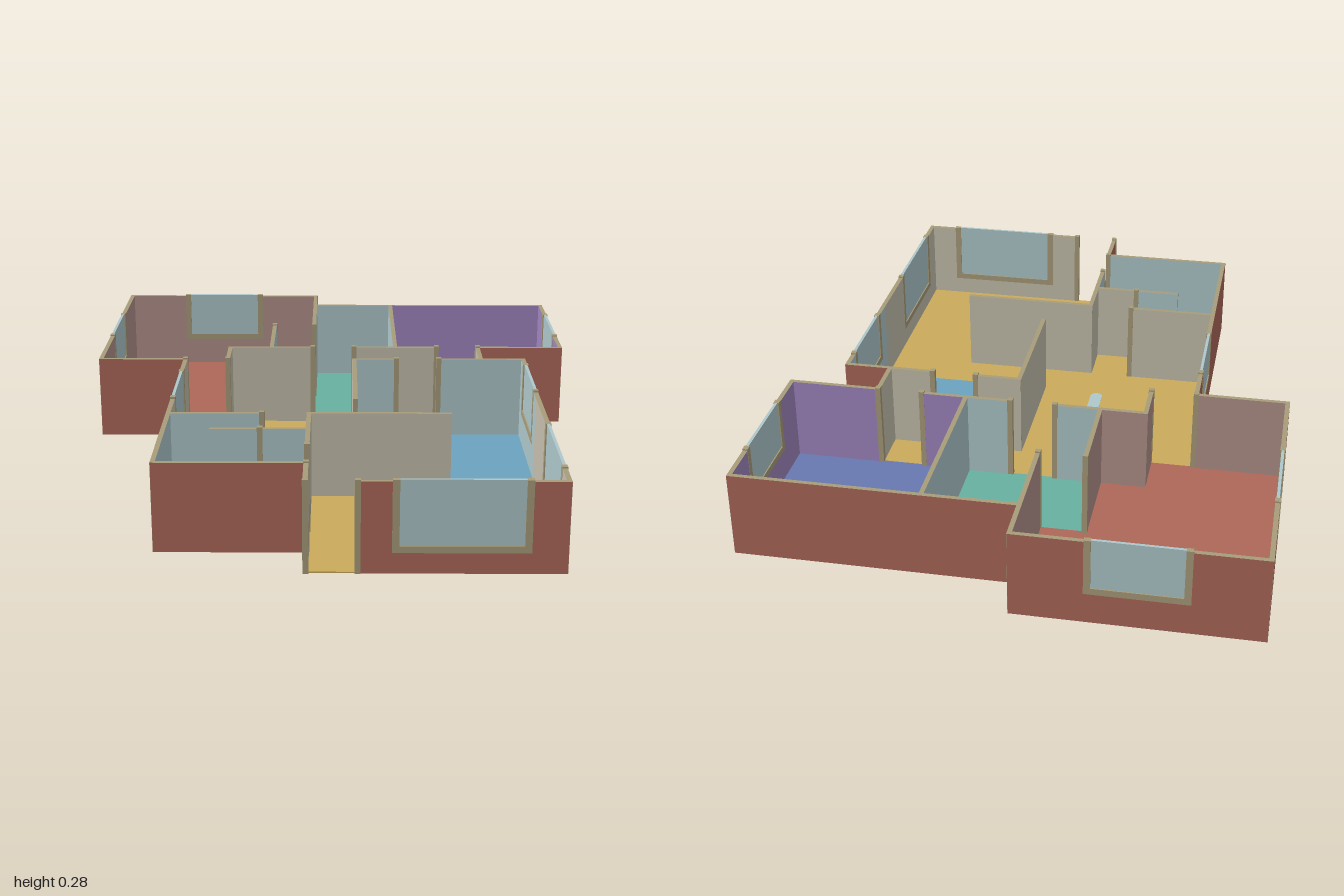
import * as THREE from 'three';

const M = 0.14168;   // plan module
const T = 0.0142;    // wall thickness
const H = 0.27;      // wall height
const TRIM_T = 0.0165, TRIM_H = 0.275;

const mat = (name, color) => {
  const m = new THREE.MeshStandardMaterial({ color });
  m.name = name;
  return m;
};

export function createModel() {
  const brick = mat('brick red', 0xad6859);
  const tealFloor = mat('teal floor', 0x68b0a0);
  const violetFloor = mat('violet blue floor', 0x6878b0);
  const ochre = mat('ochre floor', 0xcaaa5c);
  const blueFloor = mat('blue floor', 0x6ca4c0);
  const plaster = mat('plaster', 0xc5bfad);
  const pink = mat('dusty pink wall', 0xb2918a);
  const purple = mat('purple wall', 0x9f86c0);
  const pale = mat('pale blue glass and tile', 0xaec8cb);
  const trim = mat('tan trim', 0xa89d7a);

  const model = new THREE.Group();
  model.name = 'floorPlanHouse';
  const group = (name) => {
    const g = new THREE.Group();
    g.name = name;
    model.add(g);
    return g;
  };
  const floors = group('floors'), wallGroup = group('walls');
  const windows = group('windows'), jambs = group('doorJambs');

  // Floors: flat slabs from plan outlines in modules
  const floor = (name, material, pts) => {
    const shape = new THREE.Shape(pts.map(([x, z]) => new THREE.Vector2(x * M, -z * M)));
    const geo = new THREE.ExtrudeGeometry(shape, { depth: 0.004, bevelEnabled: false });
    geo.rotateX(-Math.PI / 2);
    const mesh = new THREE.Mesh(geo, material);
    mesh.name = name;
    floors.add(mesh);
  };
  floor('mainBedroomFloor', brick, [[-5.5, -7], [-0.5, -7], [-0.5, -4], [-1.5, -4], [-1.5, -2],
    [-2.5, -2], [-2.5, -1], [-5.5, -1]]);
  floor('backBathFloor', tealFloor, [[-0.5, -6], [1.5, -6], [1.5, -2], [-1.5, -2], [-1.5, -4], [-0.5, -4]]);
  floor('smallBedroomFloor', violetFloor, [[1.5, -6], [5.5, -6], [5.5, -2], [1.5, -2]]);
  floor('kitchenFloor', blueFloor, [[0.5, -1], [4.5, -1], [4.5, 2], [0.5, 2]]);
  floor('frontBathFloor', tealFloor, [[-3.5, 3], [-1.5, 3], [-1.5, 4], [-0.5, 4], [-0.5, 6], [-3.5, 6]]);
  floor('livingFloor', ochre, [[-2.5, -2], [3.5, -2], [3.5, -1], [0.5, -1], [0.5, 2], [4.5, 2], [4.5, 7],
    [-0.5, 7], [-0.5, 4], [-1.5, 4], [-1.5, 3], [-3.5, 3], [-3.5, -1], [-2.5, -1]]);

  // Pale inlay strips with rounded ends, visible from both sides of the floor
  for (const [x, w] of [[-0.31, 0.026], [-0.12, 0.04]]) {
    const r = w / 2, s = new THREE.Shape();
    s.absarc(0, 0.138 - r, r, 0, Math.PI);
    s.absarc(0, -0.138 + r, r, Math.PI, Math.PI * 2);
    const geo = new THREE.ExtrudeGeometry(s, { depth: 0.0055, bevelEnabled: false, curveSegments: 6 });
    geo.rotateX(-Math.PI / 2);
    const strip = new THREE.Mesh(geo, pale);
    strip.position.set(x, -0.0007, 0.138);
    strip.name = 'floorStrip';
    floors.add(strip);
  }

  // Box along an axis at a fixed cross coordinate
  const bar = (parent, name, axis, fixed, a, b, y0, y1, t, material) => {
    const len = b - a, mid = (a + b) / 2, alongX = axis === 'x';
    const mesh = new THREE.Mesh(new THREE.BoxGeometry(alongX ? len : t, y1 - y0, alongX ? t : len), material);
    mesh.position.set(alongX ? mid : fixed, (y0 + y1) / 2, alongX ? fixed : mid);
    mesh.name = name;
    parent.add(mesh);
  };

  // Walls: axis, fixed, from, to, positive side, negative side, [window centre, large]
  const walls = [
    ['x', -7, -5.5, -0.5, pink, brick, -3, false],
    ['x', -6, -0.5, 1.5, pale, brick],
    ['x', -6, 1.5, 5.5, purple, brick],
    ['x', -2, -2.5, -1.5, plaster, pink],
    ['x', -2, -1.5, -0.5, plaster, pale],
    ['x', -2, 0.5, 1.5, plaster, pale],
    ['x', -2, 1.5, 2.5, plaster, purple],
    ['x', -2, 3.5, 5.5, brick, purple],
    ['x', -1, -5.5, -3.5, brick, pink],
    ['x', -1, 0.5, 1.5, pale, plaster],
    ['x', -1, 2.5, 3.5, pale, plaster],
    ['x', -1, 3.5, 4.5, pale, brick],
    ['x', 3, -3.5, -1.5, pale, plaster],
    ['x', 3, -0.5, 2.5, plaster, plaster],
    ['x', 4, -2.5, -1.5, pale, pale],
    ['x', 4, -1.5, -0.5, pale, plaster],
    ['x', 6, -3.5, -0.5, brick, pale],
    ['x', 7, 0.5, 4.5, brick, plaster, 2.5, true],
    ['z', -5.5, -7, -1, pink, brick, -4, false],
    ['z', -3.5, -1, 3, plaster, brick, 1, false],
    ['z', -3.5, 3, 6, pale, brick],
    ['z', -2.5, -2, -1, plaster, pink],
    ['z', -1.5, -4, -2, pale, pink],
    ['z', -0.5, -7, -6, brick, pink],
    ['z', -0.5, -6, -4, pale, pink],
    ['z', -0.5, 3, 4, plaster, plaster],
    ['z', -0.5, 4, 5, plaster, pale],
    ['z', -0.5, 6, 7, plaster, brick],
    ['z', 0.5, -1, 2, pale, plaster],
    ['z', 1.5, -6, -2, purple, pale],
    ['z', 3.5, -2, -1, brick, plaster],
    ['z', 4.5, -1, 2, brick, pale, 0.5, false],
    ['z', 4.5, 2, 7, brick, plaster, 5, true],
    ['z', 5.5, -6, -2, brick, purple, -4, false],
  ];
  for (const wall of walls) {
    const [axis, fixed, from, to, plus, minus, centre, large] = wall;
    // Ends run into corners but stop flush against a wall in the same line
    const meets = (p, i) => walls.some((w) => w !== wall && w[0] === axis && w[1] === fixed && w[i] === p);
    const ext = T / 2 - 0.0008, f = fixed * M;
    const a = from * M - (meets(from, 3) ? 0 : ext);
    const b = to * M + (meets(to, 2) ? 0 : ext);
    const mats = axis === 'x' ? [trim, trim, trim, trim, plus, minus] : [plus, minus, trim, trim, trim, trim];
    const piece = (p, q, top) => bar(wallGroup, 'wall', axis, f, p, q, 0.002, top, T, mats);
    if (centre === undefined) {
      piece(a, b, H);
      continue;
    }
    // Window: open-topped frame and pane
    const c = centre * M, half = large ? 0.19 : 0.149, sill = large ? 0.063 : 0.098, fw = 0.02;
    piece(a, c - half, H);
    piece(c - half, c + half, sill);
    piece(c + half, b, H);
    bar(windows, 'windowSill', axis, f, c - half, c + half, sill, sill + fw, TRIM_T, trim);
    for (const s of [-1, 1]) {
      const m = c + s * (half - fw / 2);
      bar(windows, 'windowJamb', axis, f, m - fw / 2, m + fw / 2, sill + fw, TRIM_H, TRIM_T, trim);
    }
    bar(windows, 'windowPane', axis, f, c - half + fw, c + half - fw, sill + fw, TRIM_H, 0.009, pale);
  }

  // Door posts beside each opening
  for (const [x, z] of [[-0.5, -4], [-1.5, -4], [-2.5, -1], [-3.5, -1], [-0.5, -2], [0.5, -2], [2.5, -2],
    [3.5, -2], [1.5, -1], [2.5, -1], [-1.5, 3], [-1.5, 4], [-0.5, 5], [-0.5, 6], [-0.5, 7], [0.5, 7]]) {
    bar(jambs, 'doorJamb', 'x', z * M, x * M - TRIM_T / 2, x * M + TRIM_T / 2, 0.001, TRIM_H, TRIM_T, trim);
  }
  return model;
}
